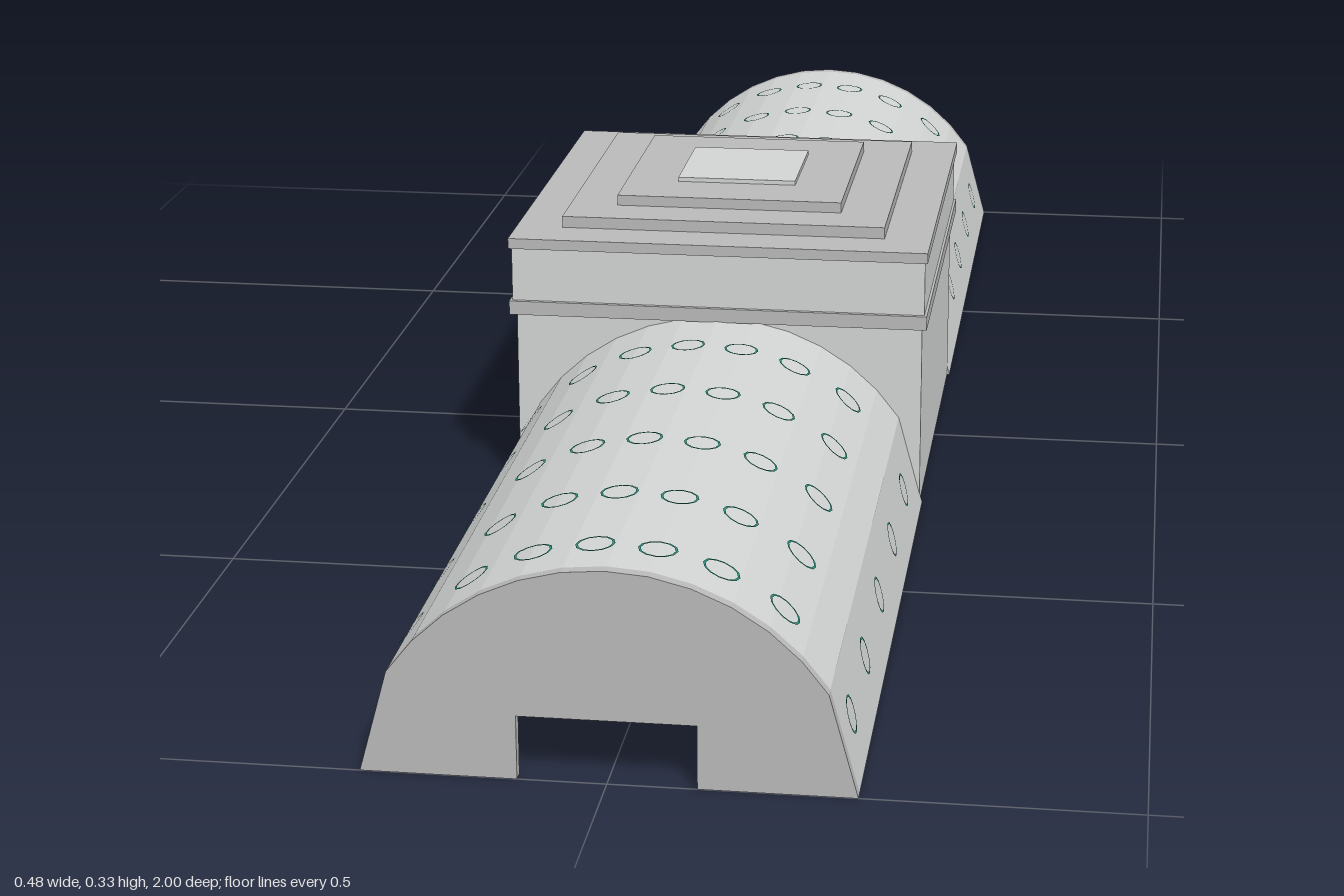
import * as THREE from 'three';

const mat = (name, color) => Object.assign(new THREE.MeshStandardMaterial({ color }), { name });

// Arch section: steep straight feet with a faceted circular crown
const R = 0.2486, CY = -0.0356, A = Math.asin(0.207 / R), FACETS = 12;
function archPoints(inset, footX = 0.235 - inset, footY = 0) {
  const pts = [new THREE.Vector2(footX, footY)];
  for (let i = 0; i <= FACETS; i++) {
    const a = A - (2 * A * i) / FACETS;
    pts.push(new THREE.Vector2((R - inset) * Math.sin(a), CY + (R - inset) * Math.cos(a)));
  }
  pts.push(new THREE.Vector2(-footX, footY));
  return pts;
}

export function createModel() {
  const model = new THREE.Group();
  const wall = mat('pale panel', 0xd2d5d3);
  const trim = mat('grey trim', 0xbababa);
  const glass = mat('teal window rim', 0x2a8a76);

  const add = (parent, name, geo, m) => {
    const mesh = new THREE.Mesh(geo, m);
    mesh.name = name;
    parent.add(mesh);
    return mesh;
  };
  const slab = (shape, depth, z) =>
    new THREE.ExtrudeGeometry(shape, { depth, bevelEnabled: false }).translate(0, 0, z);
  const rect = (P, x, z) => new P([[-x, -z], [x, -z], [x, z], [-x, z]].map(p => new THREE.Vector2(...p)));

  // Hollow rectangular band between two heights
  const band = (parent, name, x, z, ix, iz, y0, y1, m) => {
    const s = rect(THREE.Shape, x, z);
    if (ix) s.holes.push(rect(THREE.Path, ix, iz));
    return add(parent, name, slab(s, y1 - y0, 0).rotateX(-Math.PI / 2).translate(0, y0, 0), m);
  };

  // Vaulted halls, open underneath
  const shell = new THREE.Shape([...archPoints(0), ...archPoints(0.006).reverse()]);
  const windowZ = {
    front: [0.34, 0.49, 0.645, 0.8, 0.937],
    back: [-0.29, -0.435, -0.58, -0.737, -0.888],
  };
  const ring = new THREE.RingGeometry(0.0165, 0.019, 12);
  const step = (2 * A) / FACETS;
  for (const [side, zs] of Object.entries(windowZ)) {
    const hall = new THREE.Group();
    hall.name = side + 'Hall';
    model.add(hall);
    add(hall, 'vault', slab(shell, 0.758, side === 'front' ? 0.23 : -0.988), wall);

    // End wall, with a doorway at the front
    const end = archPoints(0);
    if (side === 'front') {
      for (const [x, y] of [[-0.085, 0], [-0.085, 0.064], [0.085, 0.064], [0.085, 0]]) end.push(new THREE.Vector2(x, y));
    }
    add(hall, 'endWall', slab(new THREE.Shape(end), 0.012, side === 'front' ? 0.988 : -1), trim);

    // Rows of round window rims lying on the vault
    for (let i = 0; i < 8; i++) {
      const x = -0.195 + i * 0.0588;
      let y = 0.055, tilt = Math.atan2(0.102, 0.028), px = 0.22;
      if (x < 0.207) {
        const a = Math.asin(x / R);
        tilt = (Math.floor(a / step) + 0.5) * step;
        px = x;
        y = CY + R * Math.cos(a);
      }
      for (const z of zs) {
        const w = add(hall, 'windowRim', ring, glass);
        w.rotation.set(-Math.PI / 2, 0, 0);
        const holder = new THREE.Group();
        holder.name = 'window';
        holder.add(w);
        holder.rotation.z = -tilt;
        holder.position.set(px + 0.002 * Math.sin(tilt), y + 0.002 * Math.cos(tilt), z);
        hall.add(holder);
      }
    }
  }

  // Central block: arched end walls and plain side walls
  const block = new THREE.Group();
  block.name = 'centralBlock';
  model.add(block);
  const arched = new THREE.Shape([
    new THREE.Vector2(0.232, 0.22), new THREE.Vector2(-0.232, 0.22),
    ...archPoints(0, 0.232, 0.011).reverse(),
  ]);
  for (const s of [-1, 1]) {
    add(block, 'archedWall', slab(arched, 0.008, s > 0 ? 0.225 : -0.233), wall);
    add(block, 'sideWall', new THREE.BoxGeometry(0.008, 0.22, 0.466).translate(s * 0.228, 0.11, 0), wall);
  }

  // Cornices and attic
  band(block, 'lowerCornice', 0.238, 0.248, 0.222, 0.224, 0.212, 0.228, trim);
  band(block, 'attic', 0.235, 0.243, 0.226, 0.234, 0.228, 0.29, wall);
  band(block, 'upperCornice', 0.238, 0.248, 0.175, 0.185, 0.29, 0.302, trim);

  // Stepped roof, hollow below, with a pale cap
  band(block, 'roofStepLow', 0.185, 0.195, 0.122, 0.132, 0.302, 0.315, trim);
  band(block, 'roofStepHigh', 0.13, 0.14, 0.062, 0.064, 0.315, 0.327, trim);
  band(block, 'roofCap', 0.069, 0.071, 0, 0, 0.327, 0.332, wall);

  return model;
}
